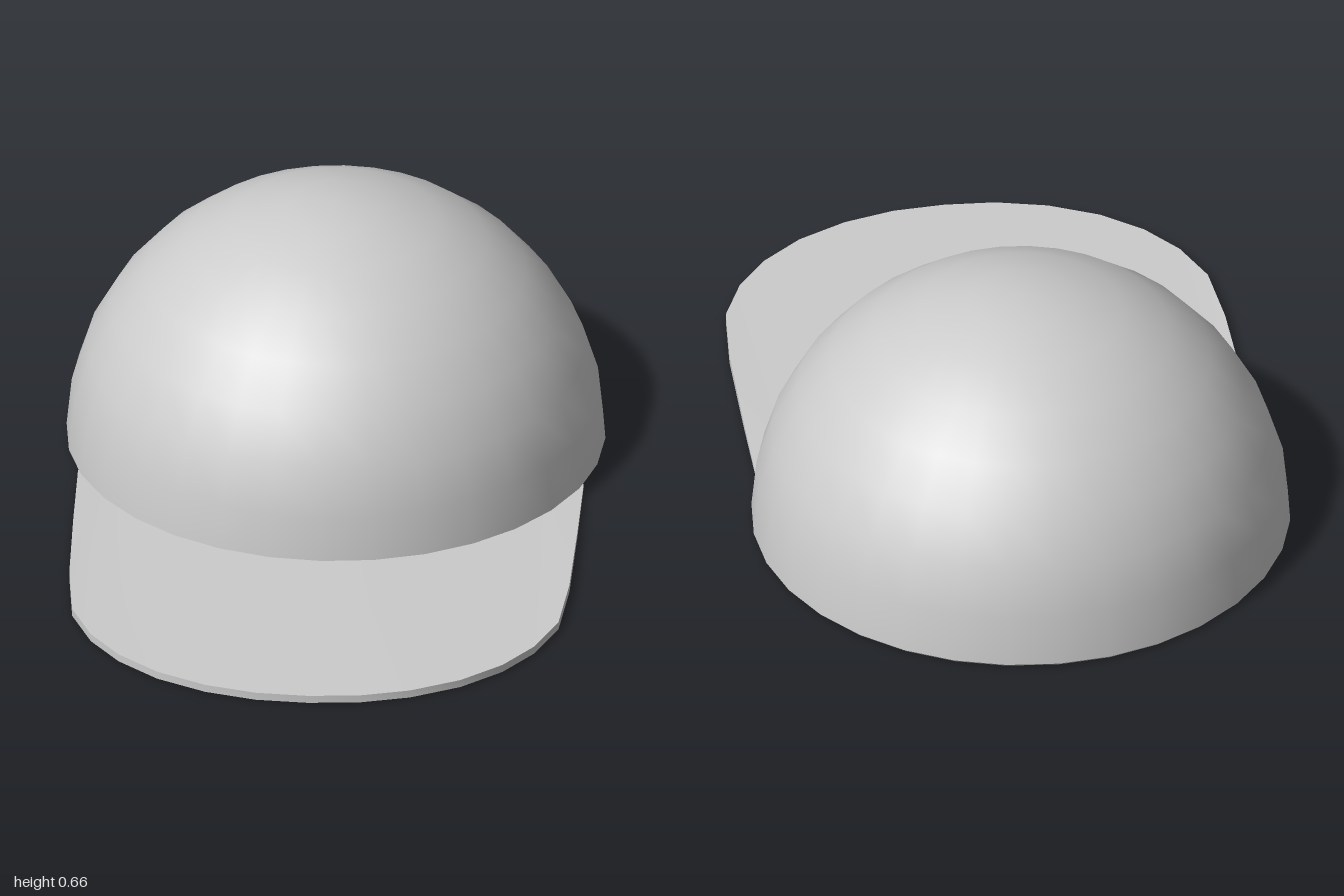
import * as THREE from 'three';
import { toCreasedNormals } from 'three/addons/utils/BufferGeometryUtils.js';

const material = new THREE.MeshStandardMaterial({ color: 0xcccccc });
const DOME_Z = -0.332;
const SIDES = 32;

// Quarter arc from the rim (angle 0) to the top
function quarterArc(radius, height, base) {
  return Array.from({ length: 9 }, (_, i) => {
    const a = (i / 8) * Math.PI / 2;
    const r = i === 8 ? 0 : radius * Math.cos(a);
    return new THREE.Vector2(r, base + (height - base) * Math.sin(a));
  });
}

// Thin hollow hemisphere, open underneath, with a bevelled rim
function createDome() {
  const inner = quarterArc(0.648, 0.645, 0.006).reverse();
  const rim = [new THREE.Vector2(0.652, 0), new THREE.Vector2(0.661, 0.001)];
  const outer = quarterArc(0.668, 0.662, 0.008);
  const geometry = new THREE.LatheGeometry([...inner, ...rim, ...outer], SIDES);
  const dome = new THREE.Mesh(toCreasedNormals(geometry, 0.6), material);
  dome.name = 'crown';
  dome.position.z = DOME_Z;
  return dome;
}

// Flat brim lofted between the crown's rim and a rounded outline
function createBrim() {
  // Half outline: x, z, angle of the matching point on the crown (degrees)
  const half = [
    [0, 0.998, 0], [0.127, 0.99, 11.25], [0.254, 0.958, 22.5], [0.376, 0.9, 33.75],
    [0.476, 0.82, 45], [0.55, 0.725, 50], [0.603, 0.603, 56.25], [0.62, 0.42, 60],
    [0.625, 0.15, 65], [0.627, -0.1, 70],
  ];
  const outline = [...half.slice(1).reverse().map(([x, z, a]) => [-x, z, -a]), ...half];
  const bottom = 0.002;
  // The top slopes down toward the sides of the crown
  const top = z => THREE.MathUtils.mapLinear(THREE.MathUtils.clamp(z, -0.2, 0.33), -0.2, 0.33, 0.006, 0.022);

  const positions = [];
  const indices = [];
  outline.forEach(([x, z, degrees], i) => {
    const a = THREE.MathUtils.degToRad(degrees);
    const ix = 0.657 * Math.sin(a);
    const iz = DOME_Z + 0.657 * Math.cos(a);
    positions.push(ix, bottom, iz, ix, top(iz), iz, x, top(z), z, x, bottom, z);
    if (i === outline.length - 1) return;
    for (let j = 0; j < 4; j++) {
      const p = i * 4 + j;
      const q = i * 4 + (j + 1) % 4;
      indices.push(p, q, q + 4, p, q + 4, p + 4);
    }
  });
  // End caps
  const e = (outline.length - 1) * 4;
  indices.push(0, 2, 1, 0, 3, 2, e, e + 1, e + 2, e, e + 2, e + 3);

  const geometry = new THREE.BufferGeometry();
  geometry.setAttribute('position', new THREE.Float32BufferAttribute(positions, 3));
  geometry.setIndex(indices);
  const brim = new THREE.Mesh(toCreasedNormals(geometry, 0.6), material);
  brim.name = 'brim';
  return brim;
}

export function createModel() {
  const cap = new THREE.Group();
  cap.name = 'cap';
  cap.add(createDome(), createBrim());
  return cap;
}
